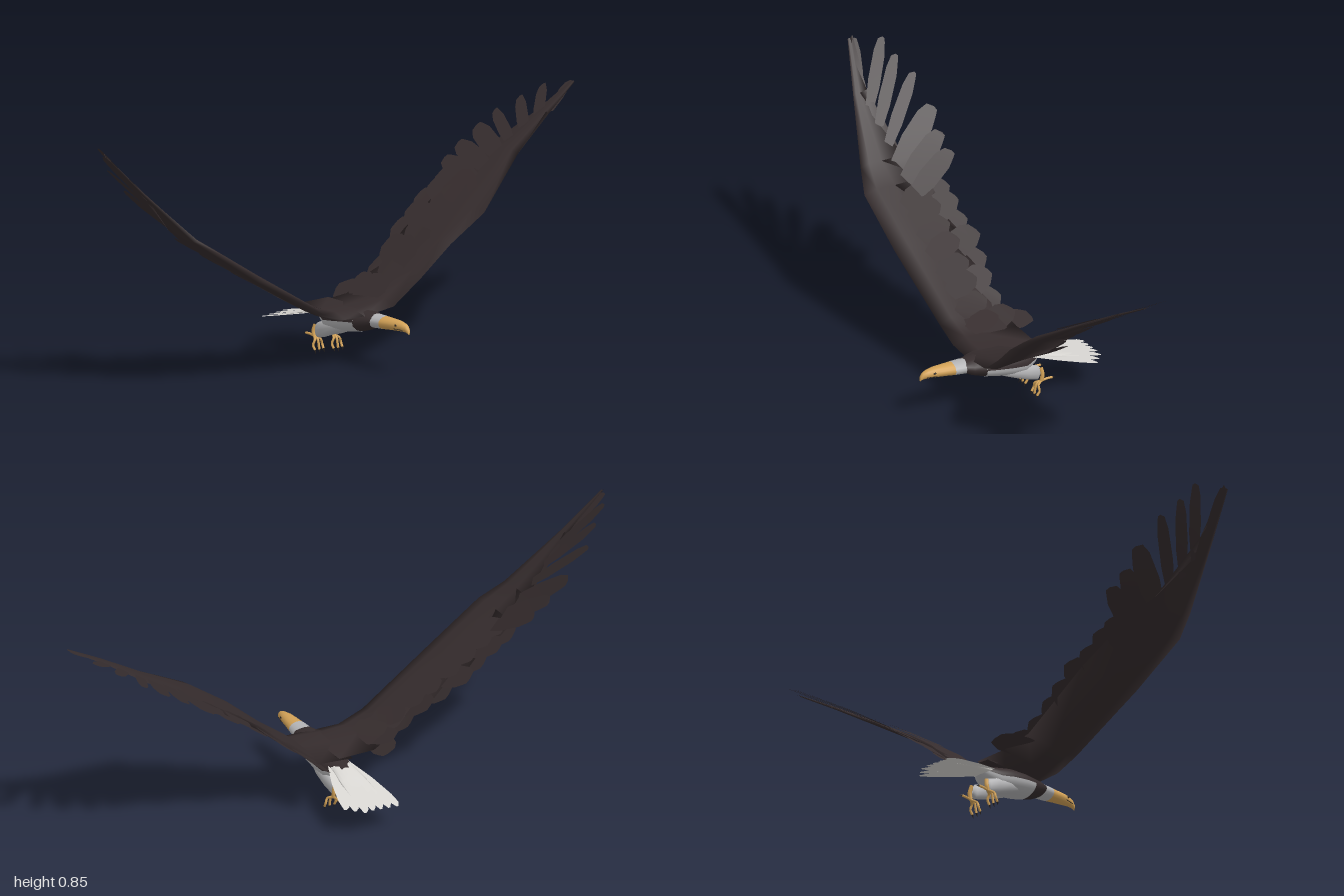
import * as THREE from 'three';

const CX = 0.035; // the body sits slightly off the middle of the wingspan

const material = (name, color, side = THREE.FrontSide) =>
  Object.assign(new THREE.MeshStandardMaterial({ color, side }), { name });

// Skin over a row of equal-length point rings
function skin(rings, closed = true) {
  const n = rings[0].length, pos = rings.flat(2), index = [];
  for (let i = 0; i < rings.length - 1; i++)
    for (let j = 0; j < (closed ? n : n - 1); j++) {
      const k = (j + 1) % n, a = i * n + j, b = i * n + k, c = a + n, d = b + n;
      index.push(a, b, c, b, d, c);
    }
  const g = new THREE.BufferGeometry();
  g.setAttribute('position', new THREE.Float32BufferAttribute(pos, 3));
  g.setIndex(index);
  g.computeVertexNormals();
  return g;
}

// Elliptical loft along z from [z, centreY, radiusX, radiusY], over an arc of each ellipse
function loft(sections, from = 0, to = Math.PI * 2, sides = 16, cx = CX) {
  const full = to - from > 6.2, count = full ? sides : sides + 1;
  return skin(sections.map(([z, y, rx, ry]) =>
    Array.from({ length: count }, (_, j) => {
      const a = from + (to - from) * j / sides;
      return [cx + rx * Math.cos(a), y + ry * Math.sin(a), z];
    })), full);
}

// Linear lookup in a list of [x, value, ...] sorted by |x|
function lookup(list, x, col = 1) {
  const ax = Math.abs(x);
  for (let i = 1; i < list.length; i++) {
    const a = list[i - 1], b = list[i], a0 = Math.abs(a[0]), b0 = Math.abs(b[0]);
    if (ax <= b0 || i === list.length - 1)
      return a[col] + (b[col] - a[col]) * (ax - a0) / (b0 - a0);
  }
}

// Flat pointed feather drawn in plan (x, z) and lifted by a height rule
function feather(root, tip, width, height) {
  const dx = tip[0] - root[0], dz = tip[1] - root[1], len = Math.hypot(dx, dz);
  const nx = -dz / len * width / 2, nz = dx / len * width / 2;
  const rings = [[0, 0.6, 0.6], [0.4, 1, 1], [0.78, 0.95, 0.9], [0.94, 0.65, 0.55], [1, 0.5, -0.1]]
    .map(([t, l, r]) => [l, -r].map(s => {
      const x = root[0] + dx * t + nx * s, z = root[1] + dz * t + nz * s;
      return [x, height(x, z, t), z];
    }));
  return skin(rings, false);
}

export function createModel() {
  const eagle = new THREE.Group();
  eagle.name = 'flyingRaptor';
  const dark = material('darkBrownPlumage', 0x352c2d, THREE.DoubleSide);
  const grey = material('greyPlumage', 0xb4b4b6, THREE.DoubleSide);
  const white = material('whiteTail', 0xd8d6d2, THREE.DoubleSide);
  const gold = material('goldenSkin', 0xd3a257);
  const black = material('darkHorn', 0x2a2420);

  const add = (name, geometry, mat, parent = eagle) => {
    const mesh = new THREE.Mesh(geometry, mat);
    mesh.name = name;
    parent.add(mesh);
    return mesh;
  };

  // Body: dark back and breast, grey belly
  const trunk = [[-0.115, 0.145, 0.015, 0.01], [-0.09, 0.135, 0.035, 0.025], [-0.05, 0.127, 0.052, 0.042],
    [0, 0.135, 0.06, 0.045], [0.06, 0.143, 0.06, 0.042], [0.1, 0.147, 0.055, 0.037]];
  add('back', loft(trunk, 0, Math.PI), dark);
  add('belly', loft(trunk, Math.PI, Math.PI * 2), grey);
  add('breast', loft([trunk[5], [0.14, 0.152, 0.045, 0.029], [0.165, 0.157, 0.035, 0.021]]), dark);

  // Neck, head and hooked beak
  add('neck', loft([[0.14, 0.155, 0.036, 0.024], [0.175, 0.157, 0.034, 0.022], [0.203, 0.158, 0.0305, 0.0215]]), grey);
  add('headAndBeak', loft([[0.185, 0.157, 0.029, 0.021], [0.205, 0.158, 0.03, 0.021], [0.24, 0.16, 0.025, 0.019],
    [0.27, 0.161, 0.021, 0.0175], [0.295, 0.16, 0.015, 0.0145], [0.31, 0.157, 0.01, 0.0125],
    [0.319, 0.15, 0.006, 0.009], [0.321, 0.141, 0.002, 0.002], [0.3211, 0.14, 0.0001, 0.0001]]), gold);
  for (const s of [-1, 1]) {
    const eye = add('eye', new THREE.SphereGeometry(0.005, 10, 8), black);
    eye.position.set(CX + s * 0.0192, 0.165, 0.276);
    eye.scale.set(0.5, 0.7, 1);
    const mouth = add('mouthLine', new THREE.BoxGeometry(0.002, 0.0015, 0.035), black);
    mouth.position.set(CX + s * 0.0165, 0.153, 0.285);
    mouth.rotation.y = -s * 0.24;
  }

  // Tail: overlapping fan of feathers sloping down to the rear
  const tail = new THREE.Group();
  tail.name = 'tail';
  eagle.add(tail);
  const tailTips = [-0.045, -0.015, 0.015, 0.045, 0.073, 0.1, 0.125];
  tailTips.forEach((x, i) => {
    const end = i < 5 ? -0.325 : -0.325 + (i - 4) * 0.02;
    const lift = (3 - Math.abs(i - 3)) * 0.002;
    add('tailFeather', feather([CX + (i - 3) * 0.009, -0.07], [x, end], 0.04,
      (px, z) => 0.148 + (z + 0.07) * 0.225 + lift), white, tail);
  });
  add('tailBase', loft([[-0.25, 0.108, 0.05, 0.003], [-0.16, 0.13, 0.045, 0.006], [-0.1, 0.142, 0.038, 0.014],
    [-0.05, 0.142, 0.035, 0.02]]), white);

  // Wings: [x, height, leading z, trailing z, thickness], with feather tips in plan
  const wings = {
    rightWing: {
      rise: 0.055,
      stations: [[0.05, 0.172, 0.14, -0.1, 0.02], [-0.08, 0.172, 0.135, -0.1, 0.028], [-0.17, 0.205, 0.135, -0.08, 0.024],
        [-0.43, 0.36, 0.158, -0.085, 0.022], [-0.62, 0.48, 0.166, -0.06, 0.018], [-0.7, 0.535, 0.136, -0.02, 0.014],
        [-0.87, 0.705, 0.07, 0.02, 0.009], [-0.995, 0.843, 0.022, 0.004, 0.004]],
      primaries: [[-0.995, 0.0], [-0.95, -0.08], [-0.905, -0.105], [-0.855, -0.145], [-0.765, -0.168], [-0.7, -0.162], [-0.64, -0.165]],
      secondaries: [[-0.1, -0.165], [-0.15, -0.115], [-0.22, -0.1], [-0.29, -0.105], [-0.35, -0.12],
        [-0.42, -0.135], [-0.48, -0.12], [-0.54, -0.12], [-0.59, -0.115]],
    },
    leftWing: {
      rise: 0.006,
      stations: [[0.0, 0.172, 0.14, -0.1, 0.02], [0.13, 0.182, 0.132, -0.1, 0.028], [0.24, 0.265, 0.145, -0.08, 0.024],
        [0.35, 0.36, 0.16, -0.08, 0.022], [0.475, 0.448, 0.18, -0.08, 0.018], [0.7, 0.59, 0.085, -0.06, 0.013],
        [0.86, 0.69, 0.05, -0.01, 0.009], [0.995, 0.77, 0.022, 0.004, 0.004]],
      primaries: [[0.995, -0.005], [0.95, -0.085], [0.885, -0.125], [0.815, -0.168], [0.745, -0.178], [0.67, -0.182], [0.605, -0.175]],
      secondaries: [[0.13, -0.16], [0.18, -0.115], [0.25, -0.1], [0.31, -0.11], [0.37, -0.135],
        [0.43, -0.135], [0.48, -0.15], [0.53, -0.14], [0.57, -0.15]],
    },
  };
  for (const [name, { rise, stations, primaries, secondaries }] of Object.entries(wings)) {
    const wing = new THREE.Group();
    wing.name = name;
    eagle.add(wing);
    const side = Math.sign(primaries[0][0]);
    const rings = stations.map(([x, y, lead, trail, t]) => {
      const at = f => lead + (trail - lead) * f;
      return [[x, y + t * 0.5, at(0.5)], [x, y + t * 0.65, at(0.2)], [x, y, lead], [x, y - t * 0.45, at(0.2)],
        [x, y - t * 0.2, at(0.5)], [x, y + rise * 0.2, trail]];
    });
    if (side < 0) rings.reverse();
    add('wingArm', skin(rings), dark, wing);

    const height = x => lookup(stations.slice(1), x);
    // Long fingers at the wing tip
    primaries.forEach((tip, i) => {
      const root = [side * (0.87 - i * 0.05), 0.045 - i * 0.004];
      add('primaryFeather', feather(root, tip, i < 4 ? 0.038 : 0.062,
        (x, z, t) => height(x) + rise * t * (i ? 1 : 0) + 0.001 * i), dark, wing);
    });
    // Ragged trailing edge and a shorter covert row above it
    secondaries.forEach((tip, i) => {
      const root = [tip[0] - side * (i ? 0.05 : -0.03), 0.02];
      add('secondaryFeather', feather(root, tip, 0.085,
        (x, z, t) => height(x) + rise * 0.3 * t + (i % 2) * 0.004), dark, wing);
      add('covertFeather', feather([root[0], 0.06], [tip[0], tip[1] * 0.3 - 0.02], 0.075,
        (x, z, t) => height(x) + 0.016 - 0.003 * t + (i % 2) * 0.003), dark, wing);
    });
  }

  // Legs: feathered thighs, shanks, curled toes and claws
  for (const s of [-1, 1]) {
    const leg = new THREE.Group();
    leg.name = s > 0 ? 'leftLeg' : 'rightLeg';
    eagle.add(leg);
    const x = CX + s * 0.04, drop = s > 0 ? 0 : 0.008;
    add('thigh', loft([[-0.106, 0.085, 0.004, 0.012], [-0.095, 0.082, 0.014, 0.026], [-0.06, 0.093, 0.02, 0.028],
      [-0.01, 0.108, 0.02, 0.024], [0.04, 0.12, 0.01, 0.015]], 0, Math.PI * 2, 12, x - s * 0.008), grey, leg);
    const tube = (label, pts, r) => add(label, new THREE.TubeGeometry(
      new THREE.CatmullRomCurve3(pts.map(p => new THREE.Vector3(...p))), 8, r, 7), gold, leg);
    const ankle = [x, 0.053 + drop, -0.106];
    tube('shank', [[x - s * 0.006, 0.1, -0.106], [x, 0.075, -0.11], ankle], 0.007);
    const toes = [-1, 0, 1].map(k => [ankle, [x + k * 0.012, 0.045 + drop, -0.088],
      [x + k * 0.019, 0.028 + drop, -0.083 + Math.abs(k) * -0.006], [x + k * 0.018, 0.013 + drop, -0.08]]);
    toes.push([ankle, [x, 0.056 + drop, -0.125], [x, 0.056 + drop, -0.146]]);
    toes.forEach((pts, i) => {
      tube('toe', pts, 0.0042);
      const claw = add('claw', new THREE.ConeGeometry(0.0035, 0.014, 6), black, leg);
      claw.position.set(...pts.at(-1));
      claw.position.add(i < 3 ? new THREE.Vector3(0, -0.006, 0.002) : new THREE.Vector3(0, -0.002, -0.006));
      claw.rotation.x = i < 3 ? Math.PI - 0.3 : -Math.PI / 2 - 0.3;
    });
  }
  return eagle;
}
